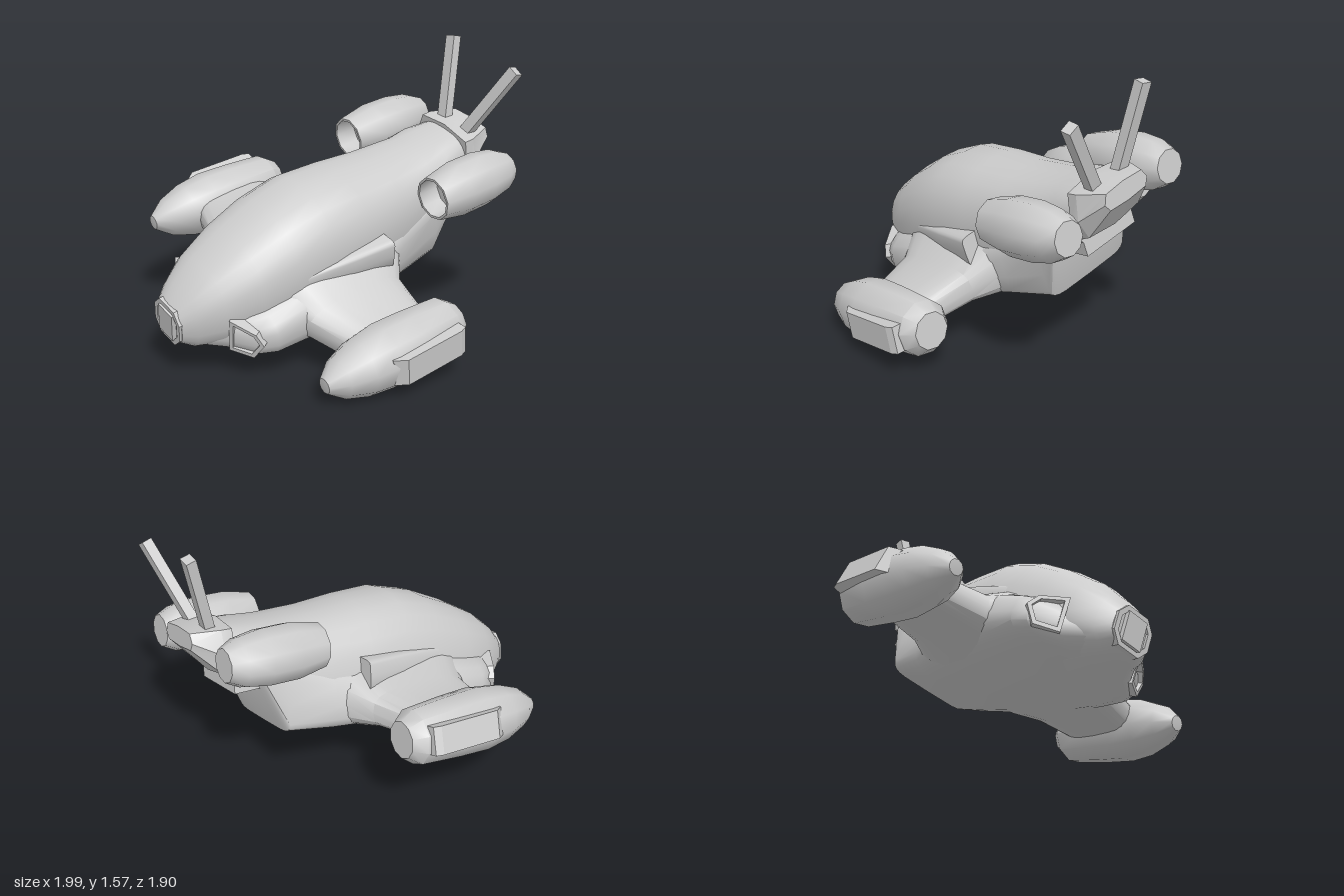
import * as THREE from 'three';
import { toCreasedNormals } from 'three/addons/utils/BufferGeometryUtils.js';

const material = new THREE.MeshStandardMaterial({ color: 0xcccccc, side: THREE.DoubleSide });

function part(name, geometry, crease = 0.6) {
  const mesh = new THREE.Mesh(toCreasedNormals(geometry, crease), material);
  mesh.name = name;
  return mesh;
}

// Rounded cross-sections along z: [z, centre x, half width, bottom, top, squareness]
function loft(sections, sides = 20, waist = 0.4) {
  const pos = [], index = [];
  const pow = (v, n) => Math.sign(v) * Math.abs(v) ** (2 / n);
  for (const [z, cx, w, bottom, top, n] of sections) {
    const mid = bottom + (top - bottom) * waist;
    for (let j = 0; j < sides; j++) {
      const a = (j / sides) * Math.PI * 2, s = pow(Math.sin(a), n);
      pos.push(cx + w * pow(Math.cos(a), n), mid + s * (s > 0 ? top - mid : mid - bottom), z);
    }
  }
  const last = (sections.length - 1) * sides;
  for (let i = 0; i < last; i += sides) {
    for (let j = 0; j < sides; j++) {
      const k = (j + 1) % sides;
      index.push(i + j, i + k, i + sides + j, i + k, i + sides + k, i + sides + j);
    }
  }
  // end caps
  for (let j = 1; j < sides - 1; j++) {
    index.push(0, j + 1, j, last, last + j, last + j + 1);
  }
  const g = new THREE.BufferGeometry();
  g.setAttribute('position', new THREE.Float32BufferAttribute(pos, 3));
  g.setIndex(index);
  return g;
}

// Profile [radius, z] turned around the z axis
function turned(profile, sides) {
  const pts = profile.map(([r, z]) => new THREE.Vector2(r, z));
  return new THREE.LatheGeometry(pts, sides).rotateX(Math.PI / 2);
}

function extruded(points, depth, hole = []) {
  const v = (list) => list.map(([x, y]) => new THREE.Vector2(x, y));
  const shape = new THREE.Shape(v(points));
  if (hole.length) shape.holes.push(new THREE.Path(v(hole)));
  return new THREE.ExtrudeGeometry(shape, { depth, bevelEnabled: false });
}

const shrink = (pts, cx, cy, k) => pts.map(([x, y]) => [cx + (x - cx) * k, cy + (y - cy) * k]);

// Everything that exists on both sides of the ship, modelled at +x
function buildSide() {
  const side = new THREE.Group();

  // wing pod with blunt tip and chamfered tail
  const pod = part('wingPod', turned([
    [0, -0.43], [0.1, -0.43], [0.15, -0.36], [0.168, -0.12], [0.175, 0.06],
    [0.155, 0.21], [0.11, 0.34], [0.042, 0.43], [0, 0.435],
  ], 10), 0.65);
  pod.position.set(0.81, -0.033, 0);
  side.add(pod);

  // raised panel on the outside of the pod, tilted slightly upward
  const panel = part('podPanel', extruded(
    [[0.07, -0.35], [0.175, -0.35], [0.19, -0.31], [0.195, 0.05], [0.15, 0.11], [0.07, 0.11]], 0.15,
  ).rotateX(Math.PI / 2).translate(0, 0.075, 0), 0.3);
  panel.position.copy(pod.position);
  panel.rotation.z = 0.16;
  side.add(panel);

  // wing blending from hull to pod; its sections run outward along x
  side.add(part('wing', loft([
    [0.15, 0.08, 0.46, -0.16, 0.25, 3], [0.32, 0.07, 0.4, -0.15, 0.2, 3],
    [0.46, 0.05, 0.31, -0.13, 0.1, 3], [0.78, 0.06, 0.23, -0.12, 0.07, 3],
  ], 20, 0.5).rotateY(Math.PI / 2)));

  // swept-back framed cheek intake
  const rim = [[0, -0.11], [0.14, -0.115], [0.195, -0.02], [0.15, 0.04], [0, 0.085]];
  const intake = part('cheekIntake',
    extruded(rim, 0.12, shrink(rim, 0.09, -0.02, 0.76)).translate(0, 0, -0.12), 0.3);
  intake.position.set(0.26, 0, 0.62);
  intake.rotation.y = 0.55;
  side.add(intake);

  // shoulder housing, fading into the hull toward the front
  side.add(part('shoulderHousing', loft([
    [-0.34, 0.28, 0.135, 0.09, 0.26, 7], [-0.1, 0.26, 0.13, 0.09, 0.25, 7],
    [0.18, 0.22, 0.12, 0.1, 0.22, 7],
  ], 20, 0.5), 0.7));

  // rear engine, hollow at the front
  const engine = part('rearEngine', turned([
    [0, -1.18], [0.09, -1.18], [0.13, -1.1], [0.152, -0.97], [0.153, -0.8],
    [0.122, -0.63], [0.108, -0.63], [0.11, -0.76], [0, -0.76],
  ], 10), 0.75);
  engine.position.set(0.365, 0.4, 0);
  side.add(engine);

  // tail fin leaning out and back
  const base = new THREE.Vector3(0.08, 0.49, -1.11), tip = new THREE.Vector3(0.25, 0.93, -1.28);
  const fin = part('tailFin', new THREE.BoxGeometry(0.065, base.distanceTo(tip), 0.055), 0.3);
  fin.position.copy(base).lerp(tip, 0.5);
  fin.quaternion.setFromUnitVectors(new THREE.Vector3(0, 1, 0), tip.clone().sub(base).normalize());
  side.add(fin);
  return side;
}

export function createModel() {
  const ship = new THREE.Group();
  ship.name = 'ship';

  // upper hull running from nose to tail neck
  ship.add(part('hull', loft([
    [-1.03, 0, 0.205, 0.2, 0.52, 2.8], [-0.9, 0, 0.23, 0.2, 0.51, 2.8],
    [-0.77, 0, 0.27, -0.06, 0.5, 2.6], [-0.5, 0, 0.31, -0.14, 0.5, 2.5],
    [-0.25, 0, 0.34, -0.16, 0.52, 2.4], [0, 0, 0.355, -0.17, 0.525, 2.4],
    [0.22, 0, 0.345, -0.17, 0.47, 2.4], [0.43, 0, 0.315, -0.165, 0.38, 2.4],
    [0.62, 0, 0.255, -0.155, 0.28, 2.4], [0.75, 0, 0.18, -0.14, 0.18, 2.5],
    [0.815, 0, 0.125, -0.1, 0.11, 2.6],
  ], 24), 0.7));

  // broad flat belly with cheeks, ending in the steep back panel
  ship.add(part('belly', loft([
    [-0.9, 0, 0.275, 0.2, 0.34, 6], [-0.77, 0, 0.285, -0.1, 0.3, 6],
    [-0.5, 0, 0.33, -0.15, 0.25, 3.5], [-0.25, 0, 0.4, -0.165, 0.22, 3],
    [0, 0, 0.44, -0.17, 0.2, 3], [0.25, 0, 0.45, -0.17, 0.17, 3],
    [0.43, 0, 0.435, -0.165, 0.12, 3], [0.51, 0, 0.4, -0.155, 0.1, 3],
    [0.61, 0, 0.26, -0.15, 0.08, 2.8], [0.79, 0, 0.12, -0.11, 0.05, 2.5],
  ], 24), 0.7));

  // nose frame around a small raised window
  const rim = [[-0.07, -0.11], [0.07, -0.11], [0.12, -0.05], [0.12, 0.05],
    [0.07, 0.11], [-0.07, 0.11], [-0.12, 0.05], [-0.12, -0.05]];
  const frame = part('noseFrame', extruded(rim, 0.05, shrink(rim, 0, 0, 0.78)), 0.3);
  frame.position.z = 0.78;
  const nose = part('noseWindow', new THREE.BoxGeometry(0.13, 0.16, 0.06), 0.3);
  nose.position.z = 0.81;
  ship.add(frame, nose);

  // tail block and the step below it
  ship.add(part('tailBlock', loft([
    [-1.24, 0, 0.15, 0.42, 0.525, 4], [-1.09, 0, 0.215, 0.26, 0.545, 4],
    [-1.03, 0, 0.215, 0.24, 0.545, 4],
  ], 8, 0.45), 0.3));
  const step = part('tailStep', new THREE.BoxGeometry(0.35, 0.1, 0.16), 0.3);
  step.position.set(0, 0.21, -0.95);
  ship.add(step);

  // both sides
  const left = buildSide(), right = buildSide();
  left.name = 'leftSide';
  right.name = 'rightSide';
  right.scale.x = -1;
  ship.add(left, right);

  // banked, turned attitude of the whole ship
  const forward = new THREE.Vector3(-0.49, -0.15, 0.86).normalize();
  const across = new THREE.Vector3(0.863, -0.25, 0.438);
  const up = forward.clone().cross(across).normalize();
  across.crossVectors(up, forward);
  ship.quaternion.setFromRotationMatrix(new THREE.Matrix4().makeBasis(across, up, forward));
  ship.position.set(-0.035, 0.405, 0.175);

  const model = new THREE.Group();
  model.name = 'model';
  model.add(ship);
  return model;
}
